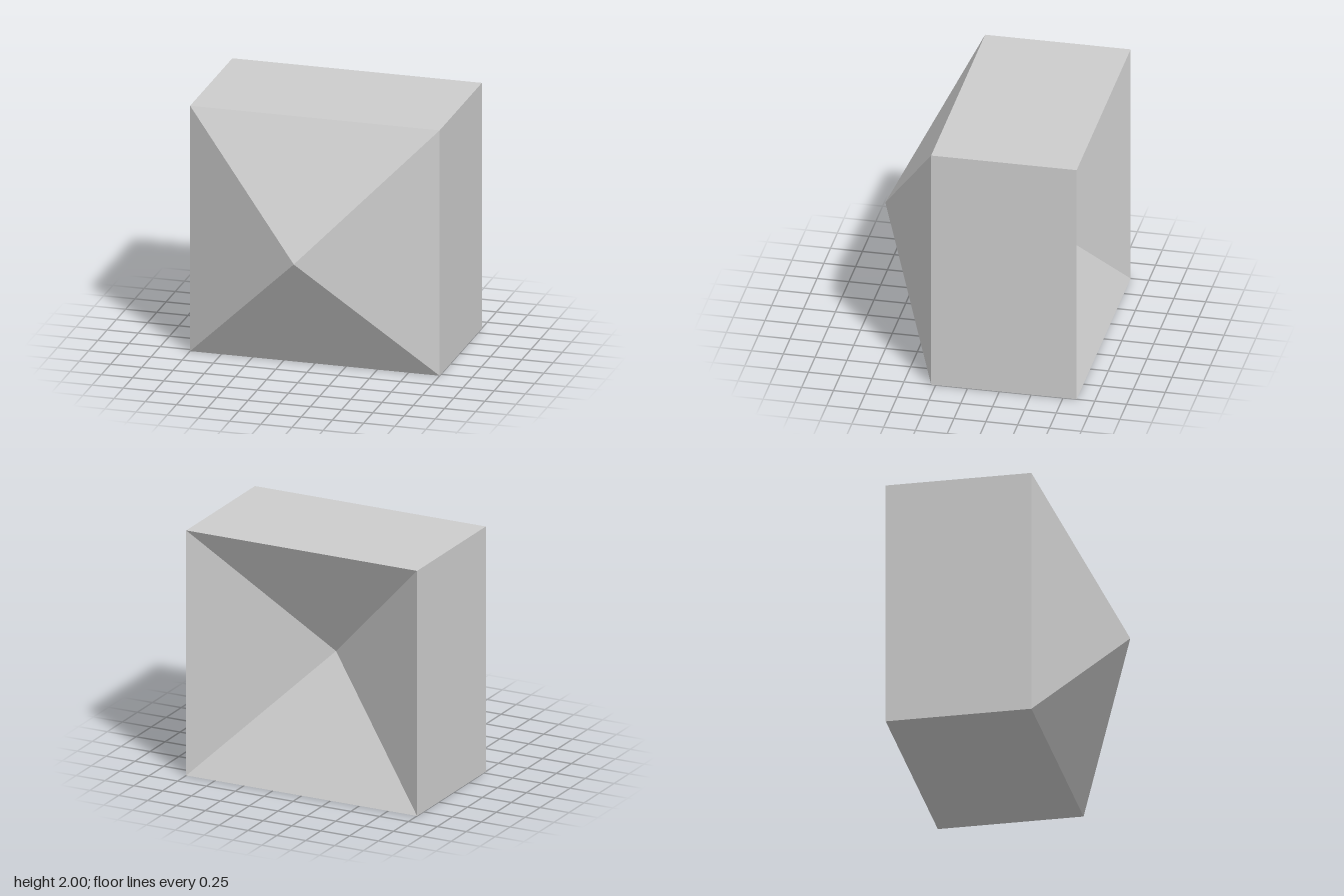
import * as THREE from 'three';

const FRONT = 2 / 7, BACK = -6 / 7, RISE = 4 / 7;

// Square outline, counter-clockwise seen from the front
const corners = [[-1, 0], [1, 0], [1, 2], [-1, 2]];

// Builds flat-sided faces from one list of triangle corners per outline edge
function facesAround(name, material, trianglesForEdge) {
  const points = corners.flatMap((a, i) => trianglesForEdge(a, corners[(i + 1) % 4]));
  const geometry = new THREE.BufferGeometry();
  geometry.setAttribute('position', new THREE.Float32BufferAttribute(points.flat(), 3));
  geometry.computeVertexNormals();
  const mesh = new THREE.Mesh(geometry, material);
  mesh.name = name;
  return mesh;
}

export function createModel() {
  const grey = new THREE.MeshStandardMaterial({ color: 0xcccccc });
  grey.name = 'light grey';
  const group = new THREE.Group();
  group.name = 'pyramidBlock';

  // Pyramid standing out of the front
  group.add(facesAround('frontPyramid', grey, (a, b) =>
    [[...a, FRONT], [...b, FRONT], [0, 1, FRONT + RISE]]));

  // Four flat side walls
  group.add(facesAround('sideWalls', grey, (a, b) => [
    [...a, FRONT], [...a, BACK], [...b, BACK],
    [...a, FRONT], [...b, BACK], [...b, FRONT],
  ]));

  // Matching pyramid sunk into the back
  group.add(facesAround('rearRecess', grey, (a, b) =>
    [[...b, BACK], [...a, BACK], [0, 1, BACK + RISE]]));

  return group;
}
